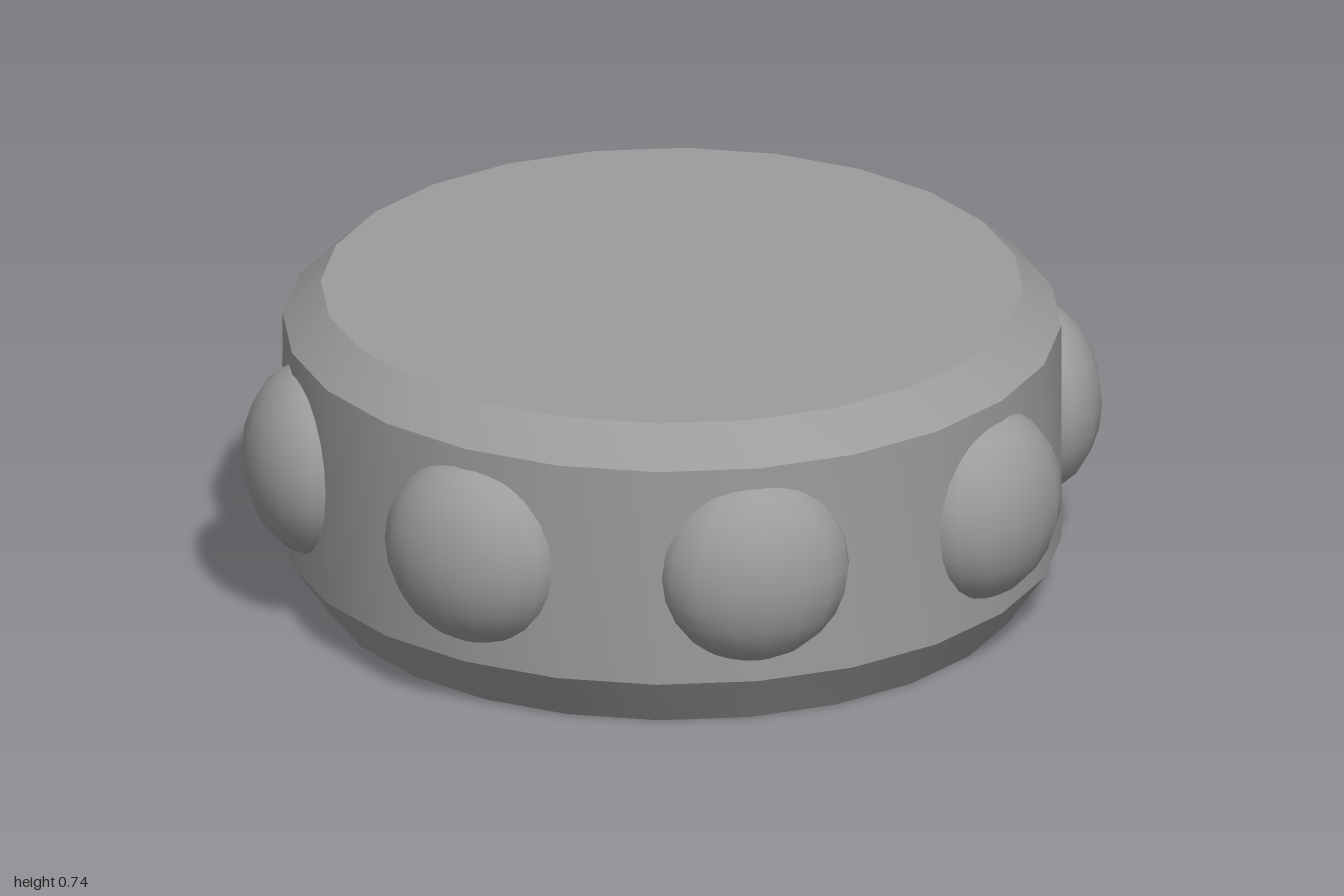
import * as THREE from 'three';
import { toCreasedNormals } from 'three/addons/utils/BufferGeometryUtils.js';

export function createModel() {
  const model = new THREE.Group();
  model.name = 'studdedDrum';
  const material = new THREE.MeshStandardMaterial({ color: 0x9c9c9c });

  // Drum: solid disc with a bevel above and below a straight band
  const profile = [[0, 0], [0.803, 0], [0.89, 0.125], [0.89, 0.653], [0.803, 0.737], [0, 0.737]]
    .map(([r, y]) => new THREE.Vector2(r, y));
  const drum = new THREE.Mesh(
    toCreasedNormals(new THREE.LatheGeometry(profile, 24), 0.42), material);
  drum.name = 'drum';
  model.add(drum);

  // Studs: eight slightly flattened balls sunk into the band
  const STUDS = 8, WIDTH = 0.225, DEPTH = 0.16;
  const studGeometry = new THREE.SphereGeometry(1, 16, 12);
  studGeometry.scale(WIDTH, WIDTH, DEPTH);
  studGeometry.translate(0, 0.389, 1 - DEPTH);
  const studs = new THREE.Group();
  studs.name = 'studs';
  for (let i = 0; i < STUDS; i++) {
    const stud = new THREE.Mesh(studGeometry, material);
    stud.name = `stud${i + 1}`;
    stud.rotation.y = (i / STUDS) * Math.PI * 2;
    studs.add(stud);
  }
  model.add(studs);

  return model;
}
